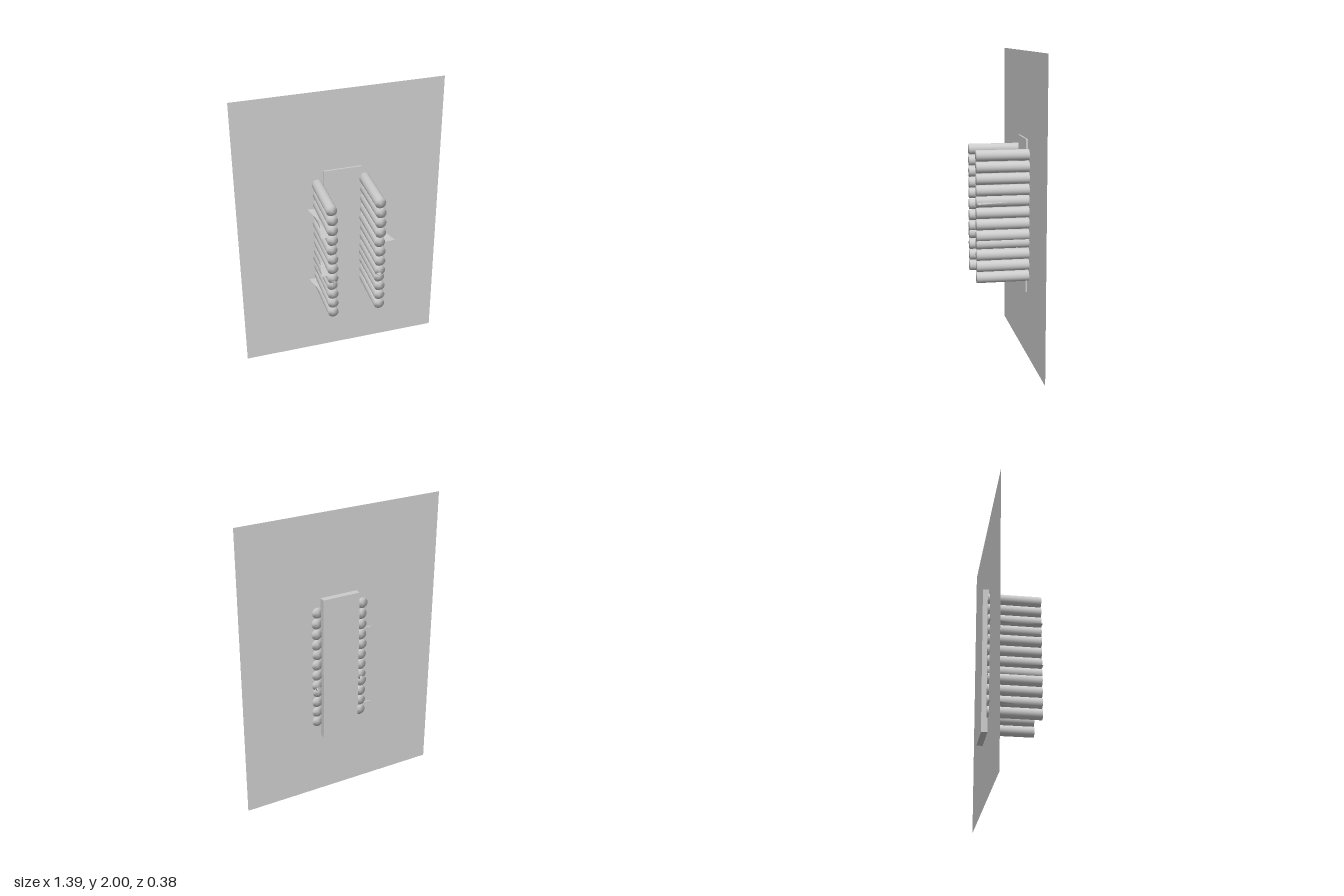
import * as THREE from 'three';
import { mergeVertices } from 'three/addons/utils/BufferGeometryUtils.js';

const grey = new THREE.MeshStandardMaterial({ color: 0xcccccc });
const thin = new THREE.MeshStandardMaterial({ color: 0xcccccc, side: THREE.DoubleSide });

const BACK = -0.158, FRONT = 0.19, RADIUS = 0.036;

// Rod lying along z, shaded smoothly over its end rims
function rodGeometry() {
  const g = new THREE.CylinderGeometry(RADIUS, RADIUS, FRONT - BACK, 24, 1);
  g.rotateX(Math.PI / 2);
  g.deleteAttribute('uv');
  g.deleteAttribute('normal');
  const merged = mergeVertices(g, 1e-5);
  merged.computeVertexNormals();
  return merged;
}

// Flat horizontal triangle from [x, z] corners at height y
function fin(y, corners) {
  const g = new THREE.BufferGeometry().setFromPoints(corners.map(([x, z]) => new THREE.Vector3(x, y, z)));
  g.computeVertexNormals();
  const mesh = new THREE.Mesh(g, thin);
  mesh.name = 'fin';
  return mesh;
}

export function createModel() {
  const model = new THREE.Group();
  model.name = 'model';

  // Large paper-thin wall
  const wall = new THREE.Mesh(new THREE.PlaneGeometry(1.386, 2), thin);
  wall.name = 'wall';
  wall.position.set(0, 1, -0.15);
  model.add(wall);

  // Mounting plate set through the wall
  const plate = new THREE.Mesh(new THREE.BoxGeometry(0.255, 1.01, 0.052), grey);
  plate.name = 'plate';
  plate.position.set(0.016, 0.94, -0.164);
  model.add(plate);

  // Two columns of rods, in three sets of four; the first of each set sits slightly aside
  const rod = rodGeometry();
  for (const [name, x] of [['rightRods', -0.148], ['leftRods', 0.172]]) {
    const column = new THREE.Group();
    column.name = name;
    for (const top of [1.35, 1.055, 0.78]) {
      for (let i = 0; i < 4; i++) {
        const mesh = new THREE.Mesh(rod, grey);
        mesh.name = 'rod';
        mesh.position.set(i === 0 ? x - 0.005 : x, top - i * 0.0745, (FRONT + BACK) / 2);
        column.add(mesh);
      }
    }
    model.add(column);
  }

  // Thin fins at the sides of the rods
  const fins = new THREE.Group();
  fins.name = 'fins';
  for (const y of [1.16, 0.865]) fins.add(fin(y, [[-0.184, 0.01], [-0.225, FRONT], [-0.165, FRONT]]));
  for (const y of [1.17, 0.605]) fins.add(fin(y, [[-0.184, 0.01], [-0.165, BACK], [-0.225, BACK]]));
  fins.add(fin(1.055, [[0.203, -0.04], [0.19, FRONT], [0.27, FRONT]]));
  model.add(fins);

  return model;
}
